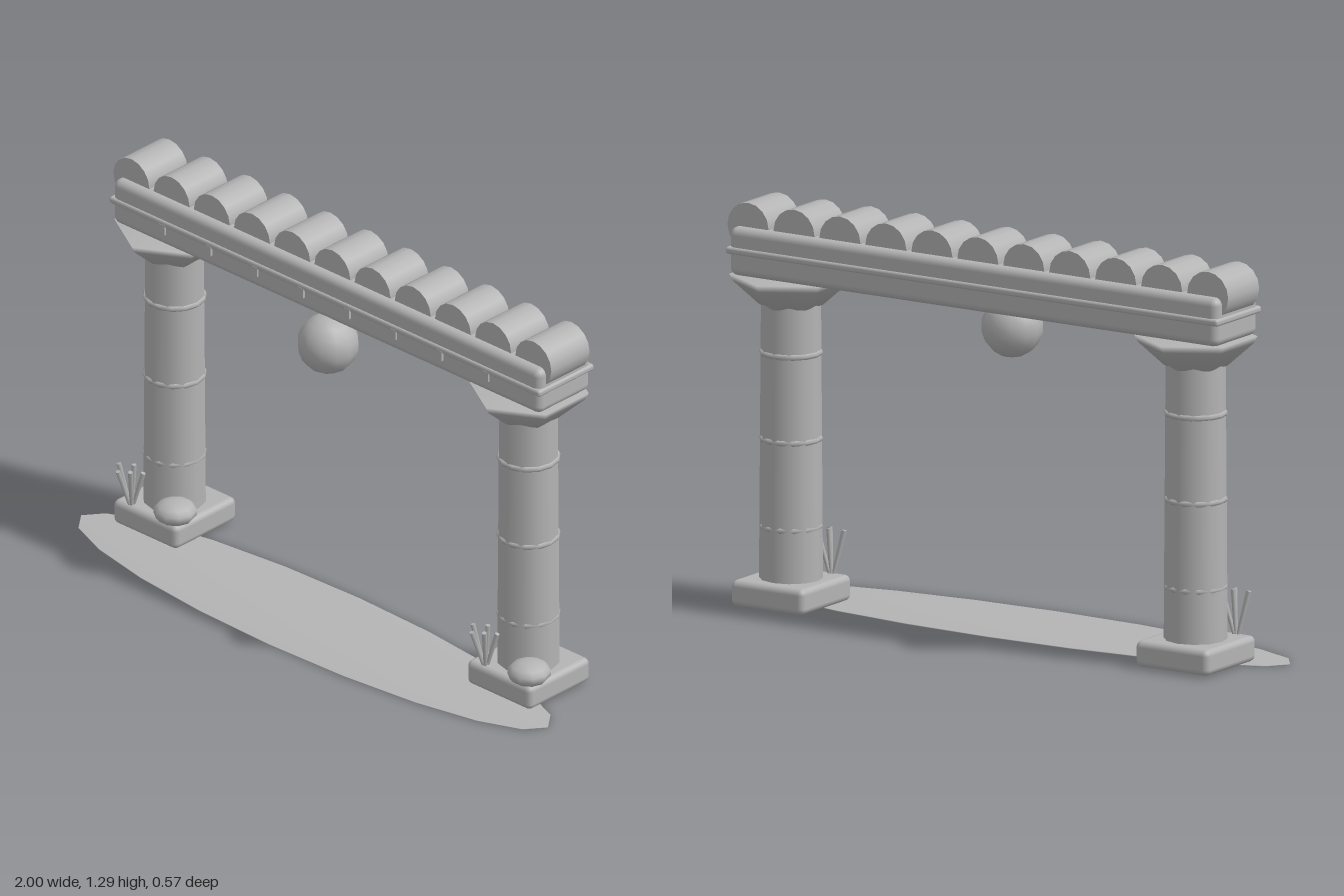
import * as THREE from 'three';
import { RoundedBoxGeometry } from 'three/addons/geometries/RoundedBoxGeometry.js';

const stone = new THREE.MeshStandardMaterial({ color: 0xb4b4b4 });
stone.name = 'stone grey';

const Z = -0.093; // depth of the gate's centre line

function add(parent, name, geometry, x = 0, y = 0, z = 0) {
  const mesh = new THREE.Mesh(geometry, stone);
  mesh.name = name;
  mesh.position.set(x, y, z);
  parent.add(mesh);
  return mesh;
}

const profile = (points) => points.map(([r, y]) => new THREE.Vector2(r, y));

// thin round stalk between two points
function stalk(parent, from, to) {
  const a = new THREE.Vector3(...from);
  const dir = new THREE.Vector3(...to).sub(a);
  const mesh = add(parent, 'plantStalk', new THREE.CylinderGeometry(0.008, 0.006, dir.length(), 6));
  mesh.position.copy(a).addScaledVector(dir, 0.5);
  mesh.quaternion.setFromUnitVectors(new THREE.Vector3(0, 1, 0), dir.normalize());
}

function createPillar(x, name) {
  const g = new THREE.Group();
  g.name = name;
  g.position.set(x, 0, 0);

  add(g, 'base', new RoundedBoxGeometry(0.274, 0.083, 0.28, 2, 0.02), 0, 0.0465, Z);
  add(g, 'shaft', new THREE.CylinderGeometry(0.094, 0.1, 0.89, 12), 0, 0.525, Z);

  // rings around the shaft
  for (const y of [0.255, 0.535, 0.81]) {
    const ring = add(g, 'ring', new THREE.TorusGeometry(0.091, 0.01, 6, 14), 0, y, Z);
    ring.rotation.x = Math.PI / 2;
  }

  // flared six-sided capital
  const capital = profile([[0, 0.96], [0.1, 0.96], [0.182, 1.033], [0.193, 1.055], [0, 1.056]]);
  add(g, 'capital', new THREE.LatheGeometry(capital, 6), 0, 0, Z);

  // low rounded rock on the base
  const rock = add(g, 'rock', new THREE.SphereGeometry(0.07, 10, 7), 0.101, 0.121, 0.011);
  rock.scale.y = 0.55;

  // fan of plant stalks on the base
  const plant = new THREE.Group();
  plant.name = 'plant';
  plant.position.set(-0.075, 0.085, 0.022);
  g.add(plant);
  const tips = [[-0.034, 0.14, 0.022], [-0.012, 0.13, 0.05], [0.012, 0.145, 0.002],
    [0.032, 0.14, 0.04], [0.04, 0.12, -0.01]];
  for (const [tx, ty, tz] of tips) stalk(plant, [tx * 0.15, 0, tz * 0.15], [tx, ty, tz]);
  return g;
}

export function createModel() {
  const model = new THREE.Group();
  model.name = 'gate';

  // shallow oval ground mound
  const mound = profile([[0, 0], [1, 0], [1, 0.003], [0.75, 0.008], [0.4, 0.011], [0, 0.012]]);
  const ground = add(model, 'ground', new THREE.LatheGeometry(mound, 20), 0, 0, 0.075);
  ground.scale.z = 0.205;

  model.add(createPillar(-0.758, 'rightPillar'), createPillar(0.758, 'leftPillar'));

  // beam with a raised band
  add(model, 'beam', new RoundedBoxGeometry(1.83, 0.155, 0.238, 3, 0.025), 0, 1.1325, Z);
  add(model, 'beamBand', new RoundedBoxGeometry(1.845, 0.023, 0.252, 2, 0.009), 0, 1.136, Z);

  // small pegs under the band, on the front only
  for (let i = 0; i < 8; i++) {
    add(model, 'peg', new THREE.BoxGeometry(0.022, 0.034, 0.02), (i - 3.5) * 0.198, 1.117, 0.024);
  }

  // row of round roof tiles
  for (let i = 0; i < 11; i++) {
    const tile = add(model, 'roofTile', new THREE.CylinderGeometry(0.077, 0.077, 0.174, 16),
      (i - 5) * 0.1722, 1.211, Z);
    tile.rotation.x = Math.PI / 2;
  }

  // hanging lantern ball
  add(model, 'lantern', new THREE.SphereGeometry(0.098, 12, 9), 0, 0.967, 0.013);

  return model;
}
